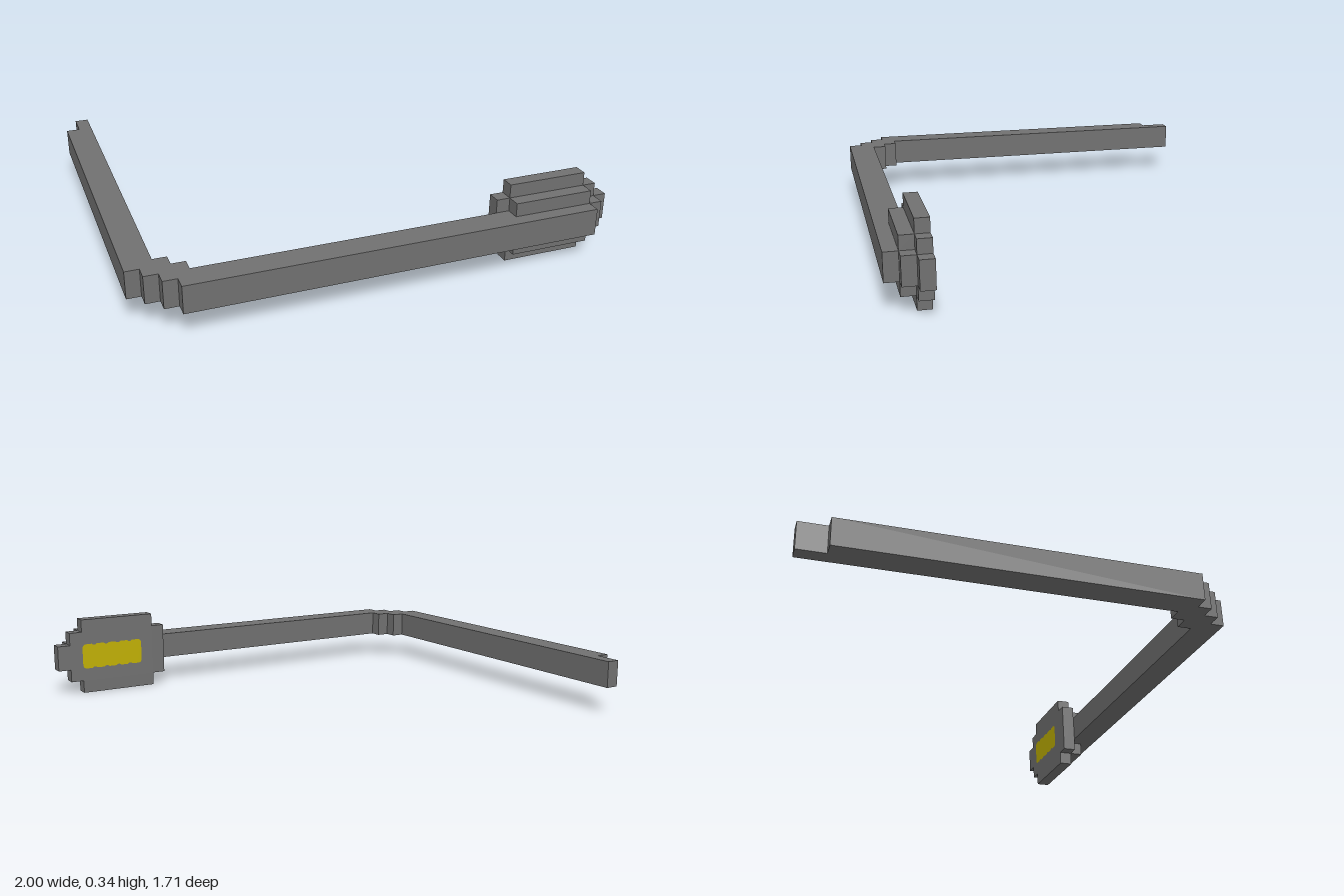
import * as THREE from 'three';

const U = 2 / 35; // one block

// Solid from a stepped outline given in blocks
function slab(points, depth) {
  const shape = new THREE.Shape(points.map(([a, b]) => new THREE.Vector2(a * U, b * U)));
  return new THREE.ExtrudeGeometry(shape, { depth: depth * U, bevelEnabled: false });
}

export function createModel() {
  const group = new THREE.Group();
  const grey = new THREE.MeshStandardMaterial({ color: 0x707070 });
  grey.name = 'mid grey';
  const yellow = new THREE.MeshStandardMaterial({ color: 0xc0b000 });
  yellow.name = 'yellow';

  const add = (name, geometry, material, x, y, z) => {
    const mesh = new THREE.Mesh(geometry, material);
    mesh.name = name;
    mesh.position.set(x, y, z);
    group.add(mesh);
    return mesh;
  };
  const z0 = -15 * U;

  // L-shaped arm: plan outline (x, z) with a stepped elbow, two blocks tall
  const arm = slab([
    [0, 2], [1, 2], [1, 0], [2, 0], [2, 26], [3, 26], [3, 27], [4, 27], [4, 28],
    [33, 28], [33, 30], [3, 30], [3, 29], [2, 29], [2, 28], [1, 28], [1, 27], [0, 27],
  ], 2);
  arm.rotateX(Math.PI / 2);
  add('arm', arm, grey, -1, 4 * U, z0);

  // Head back plate: stepped outline with a tip on the outer side
  const plate = slab([
    [27, 0], [33, 0], [33, 1], [34, 1], [34, 2], [35, 2], [35, 4], [34, 4], [34, 5],
    [33, 5], [33, 6], [27, 6], [27, 5], [26, 5], [26, 1], [27, 1],
  ], 1);
  add('headPlate', plate, grey, -1, 0, z0 + 27 * U);

  // Smaller step in front of the plate
  const step = slab([
    [27, 1], [33, 1], [33, 2], [34, 2], [34, 4], [33, 4], [33, 5], [27, 5],
  ], 1);
  add('headStep', step, grey, -1, 0, z0 + 28 * U);

  // Rounded light panel on the back of the head, with gently scalloped long edges
  const w = 2.5 * U, h = U, r = 0.02, dip = 0.006;
  const panel = new THREE.Shape();
  panel.moveTo(-w, -h + r);
  for (const s of [1, -1]) {
    panel.quadraticCurveTo(-s * w, -s * h, s * (-w + r), -s * h);
    for (let i = 1; i < 5; i++) {
      const x = -w + i * U;
      panel.lineTo(s * (x - 0.012), -s * h);
      panel.quadraticCurveTo(s * x, -s * (h - 2 * dip), s * (x + 0.012), -s * h);
    }
    panel.lineTo(s * (w - r), -s * h);
    panel.quadraticCurveTo(s * w, -s * h, s * w, s * (-h + r));
    panel.lineTo(s * w, s * (h - r));
  }
  const light = add('lightPanel', new THREE.ShapeGeometry(panel, 6), yellow,
    -1 + 30.5 * U, 3 * U, z0 + 27 * U - 0.003);
  light.rotation.y = Math.PI;

  return group;
}
